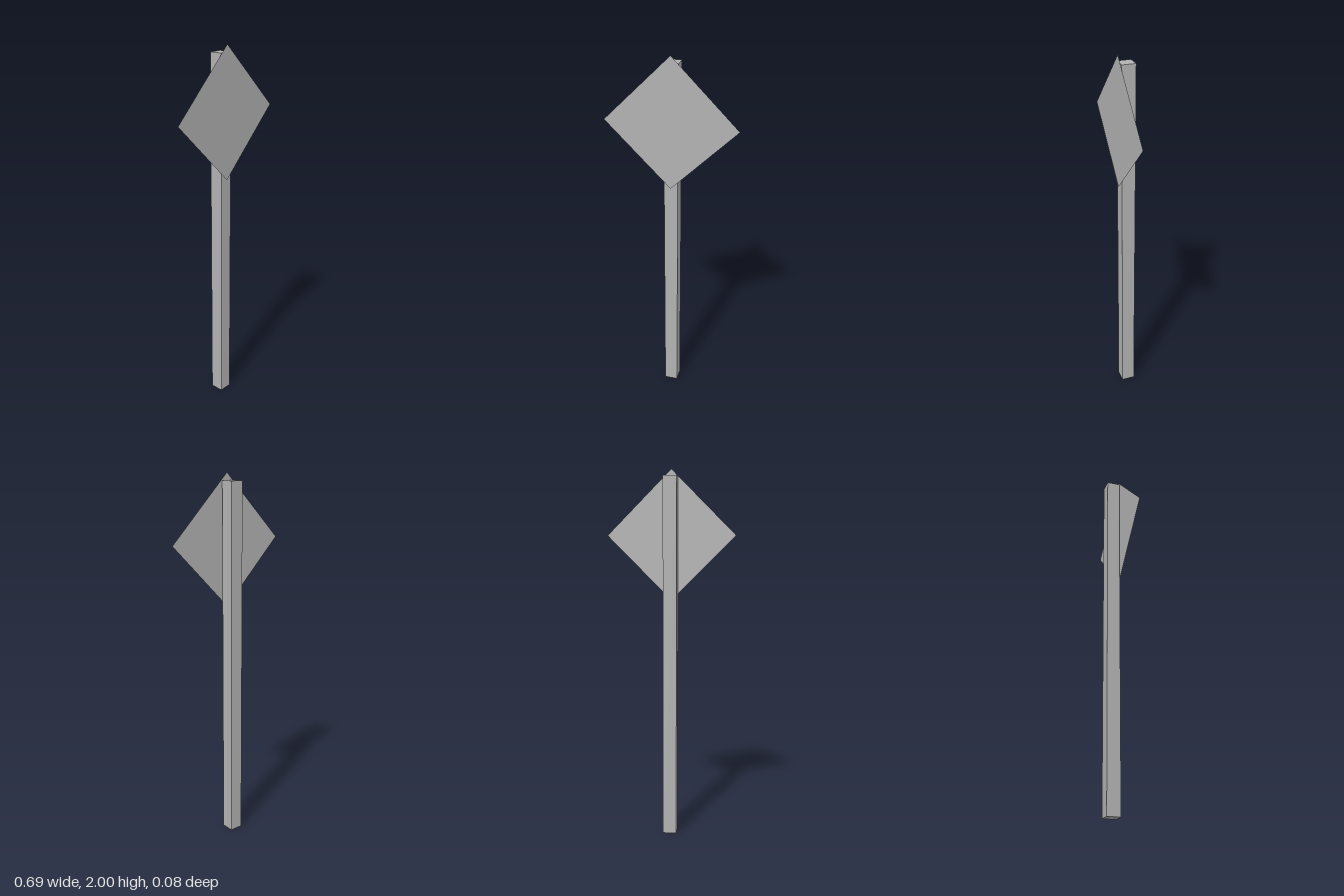
import * as THREE from 'three';

export function createModel() {
  const model = new THREE.Group();
  model.name = 'signpost';

  const grey = new THREE.MeshStandardMaterial({ color: 0xb2b2b2, side: THREE.DoubleSide });
  grey.name = 'grey';

  // Square post, set slightly behind the panel
  const post = new THREE.Mesh(new THREE.BoxGeometry(0.073, 1.96, 0.073), grey);
  post.name = 'post';
  post.position.set(0, 0.98, -0.0035);

  // Thin square panel standing on one corner
  const side = 0.695 / Math.SQRT2;
  const panel = new THREE.Mesh(new THREE.PlaneGeometry(side, side), grey);
  panel.name = 'signPanel';
  panel.rotation.z = Math.PI / 4;
  panel.position.set(0, 2 - 0.695 / 2, 0.04);

  model.add(post, panel);
  return model;
}
